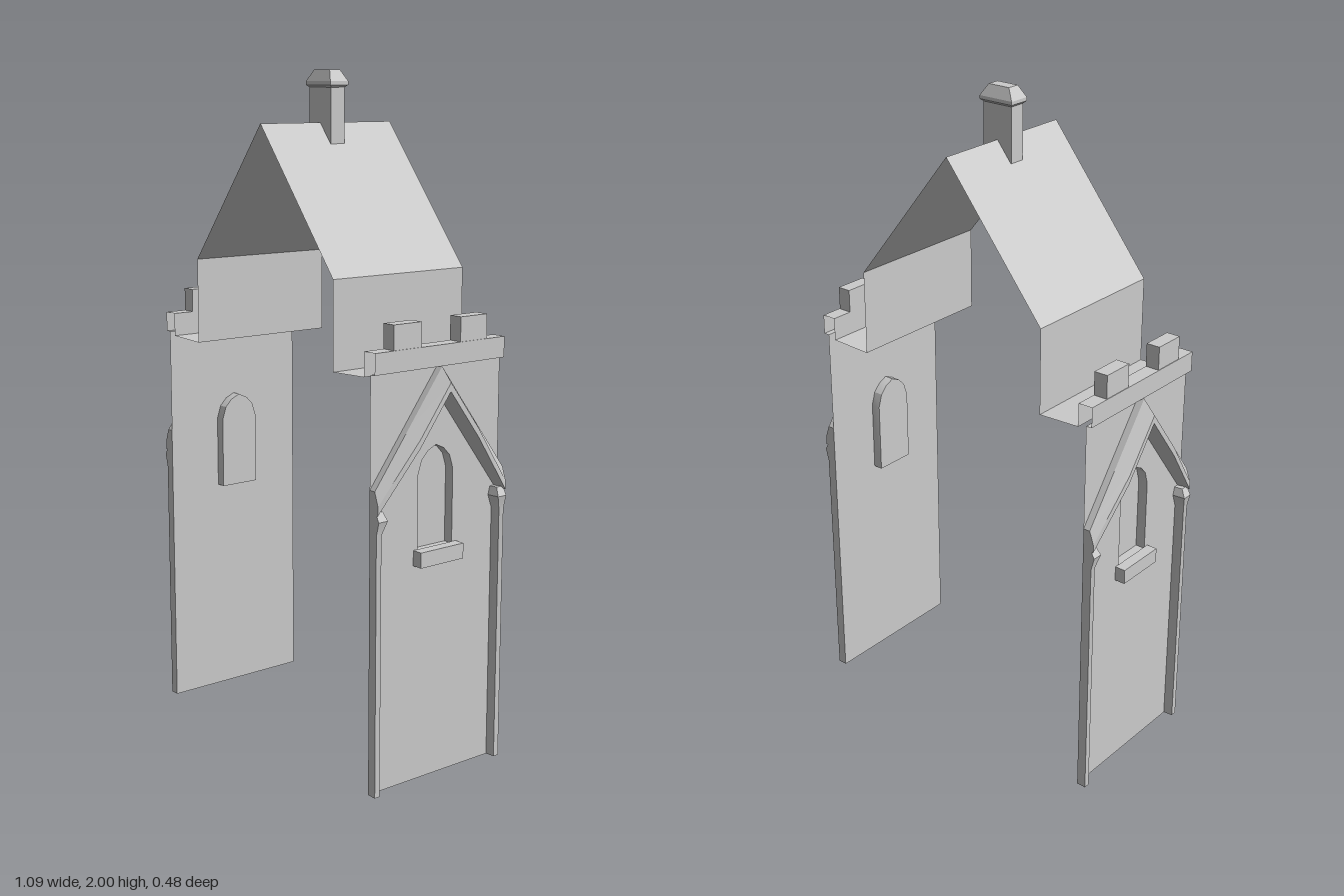
import * as THREE from 'three';
import { toCreasedNormals } from 'three/addons/utils/BufferGeometryUtils.js';

const material = new THREE.MeshStandardMaterial({ color: 0xcccccc, side: THREE.DoubleSide });
const HALF = 0.24;   // half depth of the building
const WALL = 0.487;  // wall plane

// Surface through rows of [x, y, z] points
function loft(name, rows) {
  const n = rows[0].length;
  const index = [];
  for (let r = 0; r < rows.length - 1; r++) {
    for (let i = 0; i < n - 1; i++) {
      const a = r * n + i, b = a + n;
      index.push(a, a + 1, b, a + 1, b + 1, b);
    }
  }
  const geometry = new THREE.BufferGeometry();
  geometry.setAttribute('position', new THREE.Float32BufferAttribute(rows.flat(2), 3));
  geometry.setIndex(index);
  return mesh(name, toCreasedNormals(geometry, 0.4));
}

function mesh(name, geometry) {
  const m = new THREE.Mesh(geometry, material);
  m.name = name;
  return m;
}

function box(name, [x0, x1], [y0, y1], [z0, z1]) {
  const m = mesh(name, new THREE.BoxGeometry(x1 - x0, y1 - y0, z1 - z0));
  m.position.set((x0 + x1) / 2, (y0 + y1) / 2, (z0 + z1) / 2);
  return m;
}

// Sheet running the full depth along an (x, y) profile
const sheet = (name, profile) =>
  loft(name, [HALF, -HALF].map((z) => profile.map(([x, y]) => [x, y, z])));

// Window outline as (z, y)
const windowOutline = [
  [-0.065, 0.68], [-0.065, 0.9], [-0.052, 0.94], [-0.03, 0.963], [0, 0.977],
  [0.03, 0.963], [0.052, 0.94], [0.065, 0.9], [0.065, 0.68],
];
const toPoints = (pairs) => pairs.map(([a, b]) => new THREE.Vector2(a, b));

// Flat shape in the z-y plane, facing +x
function upright(name, shape, x) {
  const m = mesh(name, new THREE.ShapeGeometry(shape).rotateY(Math.PI / 2));
  m.position.x = x;
  return m;
}

function createSide(name) {
  const side = new THREE.Group();
  side.name = name;

  // Wall with its recessed window
  const wall = new THREE.Shape(toPoints([[-HALF, 0], [HALF, 0], [HALF, 1.2], [-HALF, 1.2]]));
  wall.holes.push(new THREE.Path(toPoints(windowOutline)));
  side.add(upright('wall', wall, WALL));
  side.add(upright('windowPane', new THREE.Shape(toPoints(windowOutline)), 0.457));
  const closed = [...windowOutline, windowOutline[0]];
  side.add(loft('windowReveal', [WALL, 0.457].map((x) => closed.map(([z, y]) => [x, y, z]))));
  side.add(box('windowSill', [WALL, 0.52], [0.64, 0.685], [-0.08, 0.08]));

  // Gable moulding, deepest around the apex
  const stations = [[-HALF, 0.522], [-0.11, 0.545], [0, 0.545], [0.11, 0.545], [HALF, 0.522]];
  side.add(loft('gableMoulding', stations.map(([z, out]) => {
    const y = 1.2 - Math.abs(z) * 1.32;
    return [[WALL, y, z], [0.508, y, z], [out, y - 0.04, z], [out, y - 0.065, z], [WALL, y - 0.075, z]];
  })));
  for (const s of [-1, 1]) {
    const z = s * HALF;
    const y = 1.2 - HALF * 1.32;
    side.add(loft('gableEnd', [
      [[WALL, y, z], [0.508, y, z]],
      [[WALL, y - 0.04, z], [0.522, y - 0.04, z]],
      [[WALL, y - 0.075, z], [0.522, y - 0.065, z]],
    ]));

    // Corner pilaster with flared capital: height, projection, inner edge
    const levels = [[0, 0.516, 0.222], [0.76, 0.516, 0.222], [0.8, 0.526, 0.208], [0.825, 0.512, 0.215], [0.825, WALL, 0.239]];
    side.add(loft('cornerPilaster', levels.map(([h, x, edge]) =>
      [[WALL, h, z], [x, h, z], [x, h, s * edge], [WALL, h, s * (edge - 0.003)]])));
  }

  // Battlement
  side.add(sheet('parapet', [[WALL, 1.2], [0.505, 1.2], [0.505, 1.26], [0.46, 1.26], [0.46, 1.19]]));
  for (const s of [-1, 1]) {
    side.add(box('merlon', [0.46, 0.503], [1.26, 1.33], [s * 0.122 - 0.05, s * 0.122 + 0.05]));
  }

  // Roof slope, upper wall and gutter
  side.add(sheet('roof', [[0, 1.85], [0.328, 1.44], [0.328, 1.185], [0.46, 1.19]]));
  return side;
}

function createChimney() {
  const chimney = new THREE.Group();
  chimney.name = 'chimney';
  const ring = ([w, d, y]) => [[w, y, d], [w, y, -d], [-w, y, -d], [-w, y, d], [w, y, d]];
  chimney.add(loft('chimneyShaft', [[0.05, 0.025, 1.79], [0.05, 0.025, 1.95]].map(ring)));
  const cap = [[0.05, 0.025, 1.95], [0.057, 0.033, 1.957], [0.057, 0.033, 1.967], [0.036, 0.019, 2], [0, 0, 2]];
  chimney.add(loft('chimneyCap', cap.map(ring)));
  return chimney;
}

export function createModel() {
  const model = new THREE.Group();
  model.name = 'building';
  const left = createSide('leftSide');
  const right = createSide('rightSide');
  right.rotation.y = Math.PI;
  model.add(left, right, createChimney());
  return model;
}
